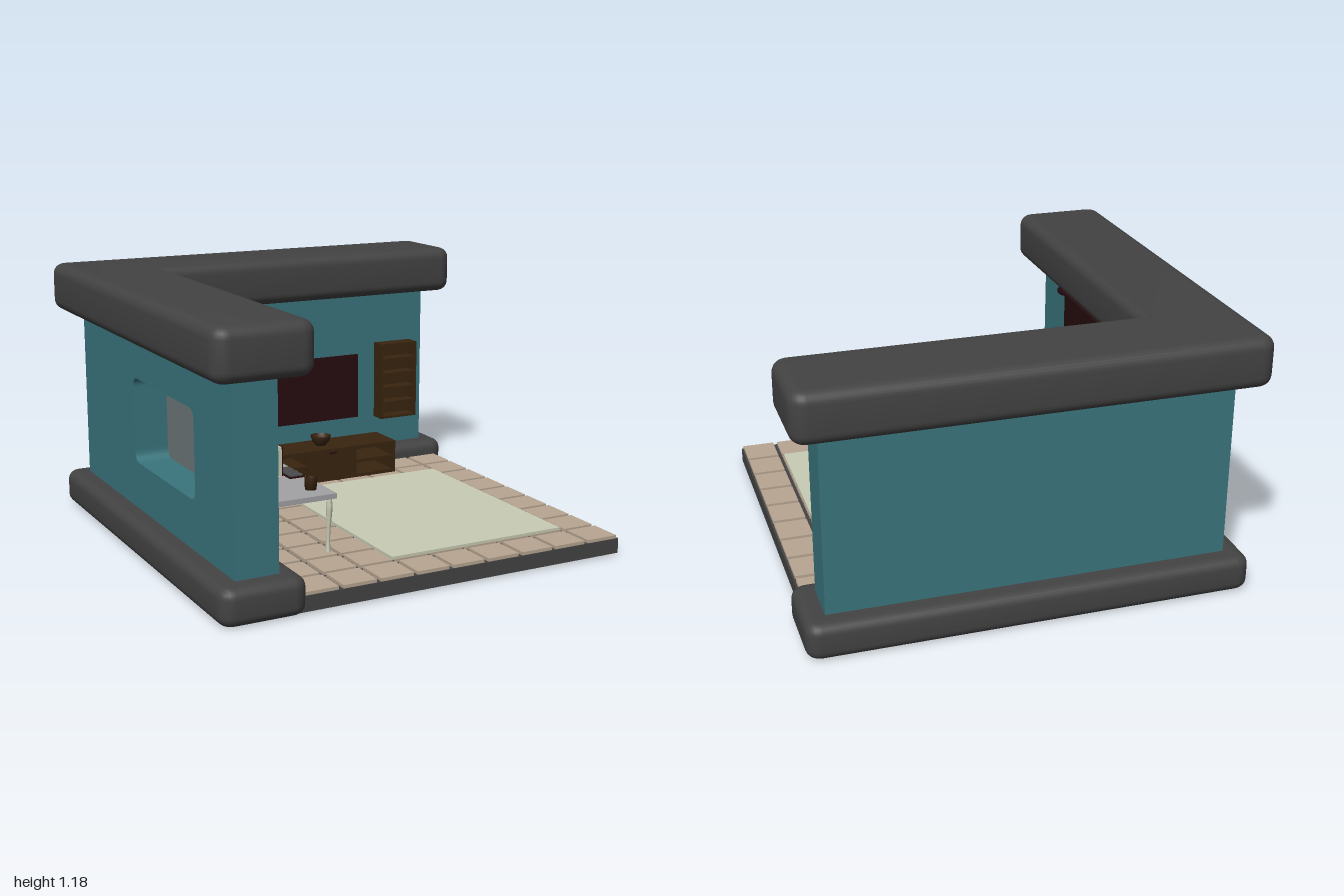
import * as THREE from 'three';
import { toCreasedNormals } from 'three/addons/utils/BufferGeometryUtils.js';

const mat = (name, color, side = THREE.FrontSide) => {
  const m = new THREE.MeshStandardMaterial({ color, side });
  m.name = name;
  return m;
};

export function createModel() {
  const charcoal = mat('charcoal', 0x434343);
  const teal = mat('teal', 0x3a757d);
  const tan = mat('tan', 0xb8a692, THREE.DoubleSide);
  const cream = mat('cream', 0xc9ccb5);
  const metal = mat('deskGrey', 0xa3a3a5);
  const wood = mat('darkWood', 0x38240f, THREE.DoubleSide);
  const maroon = mat('maroon', 0x270d0f);
  const blue = mat('skyBlue', 0x2f86d2);
  const frameGrey = mat('frameGrey', 0x6c7679);
  const gadget = mat('gadgetGrey', 0x4b4b4d);

  const model = new THREE.Group();
  const group = (name) => {
    const g = new THREE.Group();
    g.name = name;
    model.add(g);
    return g;
  };
  const add = (parent, name, geo, material, x = 0, y = 0, z = 0) => {
    const m = new THREE.Mesh(geo, material);
    m.name = name;
    m.position.set(x, y, z);
    parent.add(m);
    return m;
  };
  // box given by its lower and upper limits on each axis
  const box = (parent, name, material, x0, x1, y0, y1, z0, z1) =>
    add(parent, name, new THREE.BoxGeometry(x1 - x0, y1 - y0, z1 - z0), material,
      (x0 + x1) / 2, (y0 + y1) / 2, (z0 + z1) / 2);
  const lathe = (pts, seg = 32) =>
    new THREE.LatheGeometry(pts.map(([r, y]) => new THREE.Vector2(r, y)), seg);

  // L-shaped slab with soft edges; e = outer half size, ix/iz = inner edges
  function slab(name, e, ix, iz, y0, y1, b) {
    const o = e - b, r = 0.02;
    // shape coordinates are (x, -z)
    const s = new THREE.Shape();
    const corner = (ax, ay, cx, cy, bx, by) => {
      s.lineTo(ax, ay);
      s.quadraticCurveTo(cx, cy, bx, by);
    };
    const jx = ix - b, jz = -(iz - b);
    s.moveTo(-o + r, -o);
    corner(jx - r, -o, jx, -o, jx, -o + r);
    s.lineTo(jx, jz);
    corner(o - r, jz, o, jz, o, jz + r);
    corner(o, o - r, o, o, o - r, o);
    corner(-o + r, o, -o, o, -o, o - r);
    corner(-o, -o + r, -o, -o, -o + r, -o);
    const geo = new THREE.ExtrudeGeometry(s, {
      depth: y1 - y0 - 2 * b, bevelEnabled: true, bevelSize: b, bevelThickness: b,
      bevelSegments: 6, curveSegments: 6,
    });
    geo.rotateX(-Math.PI / 2);
    add(model, name, toCreasedNormals(geo, 0.7), charcoal, 0, y0 + b, 0);
  }
  slab('roofSlab', 1, -0.57, -0.575, 0.96, 1.18, 0.05);
  slab('baseSlab', 0.975, -0.6, -0.592, 0, 0.16, 0.045);

  // rounded rectangle in the (z, y) plane
  const rounded = (Type, z0, z1, y0, y1, r) => {
    const p = new Type();
    p.moveTo(z0 + r, y0);
    p.lineTo(z1 - r, y0); p.quadraticCurveTo(z1, y0, z1, y0 + r);
    p.lineTo(z1, y1 - r); p.quadraticCurveTo(z1, y1, z1 - r, y1);
    p.lineTo(z0 + r, y1); p.quadraticCurveTo(z0, y1, z0, y1 - r);
    p.lineTo(z0, y0 + r); p.quadraticCurveTo(z0, y0, z0 + r, y0);
    return p;
  };
  // plate facing +x made from such a shape
  const sidePlate = (parent, name, shape, material, xBack, xFront) => {
    const geo = new THREE.ExtrudeGeometry(shape, { depth: xFront - xBack, bevelEnabled: false, curveSegments: 8 });
    geo.rotateY(-Math.PI / 2);
    return add(parent, name, geo, material, xFront, 0, 0);
  };

  // walls
  const walls = group('walls');
  box(walls, 'backWall', teal, -0.88, 0.88, 0.12, 1.0, -0.88, -0.685);
  const wall = new THREE.Shape([[-0.69, 0.12], [0.88, 0.12], [0.88, 1], [-0.69, 1]]
    .map(([x, y]) => new THREE.Vector2(x, y)));
  wall.holes.push(rounded(THREE.Path, -0.21, 0.49, 0.375, 0.76, 0.05));
  sidePlate(walls, 'windowWall', wall, teal, -0.88, -0.69);

  // window
  const win = group('window');
  const ring = (name, z0, z1, y0, y1, w, r, xb, xf) => {
    const s = rounded(THREE.Shape, z0, z1, y0, y1, r);
    s.holes.push(rounded(THREE.Path, z0 + w, z1 - w, y0 + w, y1 - w, r * 0.4));
    sidePlate(win, name, s, frameGrey, xb, xf);
  };
  sidePlate(win, 'windowBack', rounded(THREE.Shape, -0.21, 0.49, 0.375, 0.76, 0.05), frameGrey, -0.725, -0.71);
  ring('outerFrame', -0.21, 0.49, 0.375, 0.76, 0.045, 0.05, -0.715, -0.678);
  ring('lowerSash', -0.165, 0.455, 0.395, 0.525, 0.025, 0.01, -0.71, -0.685);
  ring('upperSash', -0.15, 0.445, 0.505, 0.74, 0.025, 0.01, -0.71, -0.692);
  box(win, 'lowerPane', blue, -0.71, -0.702, 0.42, 0.5, -0.14, 0.43);
  box(win, 'upperPane', blue, -0.71, -0.702, 0.53, 0.715, -0.125, 0.42);

  // roller blind
  const blind = group('blind');
  box(blind, 'blindCloth', maroon, -0.674, -0.664, 0.58, 0.89, -0.237, 0.538);
  const rodAt = (name, r, z0, z1) => {
    const geo = new THREE.CylinderGeometry(r, r, z1 - z0, 20);
    geo.rotateX(Math.PI / 2);
    add(blind, name, geo, maroon, -0.665, 0.892, (z0 + z1) / 2);
  };
  rodAt('rod', 0.014, -0.27, 0.57);
  rodAt('rodEnd', 0.023, -0.288, -0.264);
  rodAt('rodEnd', 0.023, 0.562, 0.586);

  // tiled floor
  const floor = group('floor');
  box(floor, 'floorSlab', charcoal, -0.64, 0.927, 0.008, 0.075, -0.63, 0.948);
  const tileGeo = new THREE.BoxGeometry(0.152, 0.025, 0.153);
  for (let i = 0; i < 9; i++)
    for (let j = 0; j < 9; j++)
      add(floor, 'tile', tileGeo, tan, 0.842 - i * 0.172, 0.077, 0.867 - j * 0.1735);
  box(model, 'rug', cream, -0.115, 0.742, 0.088, 0.101, -0.31, 0.768);

  // media cabinet with open side bays
  const cab = group('cabinet');
  box(cab, 'cabinetTop', wood, -0.185, 0.565, 0.237, 0.252, -0.585, -0.388);
  box(cab, 'cabinetBottom', wood, -0.185, 0.565, 0.088, 0.105, -0.585, -0.388);
  box(cab, 'cabinetBack', wood, -0.185, 0.565, 0.1, 0.24, -0.585, -0.572);
  for (const x of [-0.185, 0.55]) box(cab, 'cabinetSide', wood, x, x + 0.015, 0.1, 0.24, -0.585, -0.388);
  for (const [a, b] of [[-0.175, 0.075], [0.335, 0.555]])
    box(cab, 'cabinetShelf', wood, a, b, 0.165, 0.177, -0.575, -0.395);
  box(cab, 'cabinetDoor', wood, 0.07, 0.34, 0.1, 0.242, -0.58, -0.386);
  box(cab, 'doorHandle', maroon, 0.188, 0.228, 0.228, 0.236, -0.388, -0.378);
  add(cab, 'bowl', lathe([[0, 0], [0.025, 0], [0.042, 0.02], [0.051, 0.048], [0.046, 0.048],
    [0.036, 0.022], [0, 0.01]]), wood, 0.192, 0.252, -0.487);

  // wall screen
  box(model, 'wallScreen', maroon, -0.12, 0.503, 0.32, 0.65, -0.69, -0.672);

  // wall shelf
  const shelf = group('wallShelf');
  box(shelf, 'shelfBack', wood, 0.605, 0.812, 0.31, 0.702, -0.69, -0.677);
  for (const x of [0.605, 0.8]) box(shelf, 'shelfSide', wood, x, x + 0.012, 0.31, 0.702, -0.685, -0.605);
  for (let i = 0; i < 6; i++) {
    const y = 0.31 + i * 0.076;
    box(shelf, 'shelfBoard', wood, 0.61, 0.806, y, y + 0.012, -0.685, -0.606);
  }

  // floor lamp with oval shade
  const lamp = group('floorLamp');
  lamp.position.set(-0.522, 0, -0.497);
  add(lamp, 'lampBase', new THREE.CylinderGeometry(0.052, 0.06, 0.014, 32), maroon, 0, 0.095, 0);
  add(lamp, 'lampPole', new THREE.CylinderGeometry(0.01, 0.01, 0.43, 16), maroon, 0, 0.305, 0);
  const shade = add(lamp, 'lampShade', lathe([[0.1, 0.495], [0.098, 0.508], [0.074, 0.592], [0.066, 0.592], [0.09, 0.5]]), tan);
  shade.scale.z = 0.83;
  const disc = add(lamp, 'shadeDiffuser', new THREE.CylinderGeometry(0.07, 0.07, 0.006, 32), tan, 0, 0.572, 0);
  disc.scale.z = 0.83;

  // desk with curved legs
  const desk = group('desk');
  box(desk, 'deskTop', metal, -0.582, -0.285, 0.333, 0.356, -0.35, 0.595);
  for (const x of [-0.565, -0.305])
    for (const side of [-1, 1]) {
      const pts = [[0.012, 0.088], [0.008, 0.14], [0.009, 0.2], [0.013, 0.27], [0.014, 0.3], [0.01, 0.335]];
      const geo = lathe(pts, 12);
      const p = geo.attributes.position;
      // lean the upper part of the leg outwards
      for (let i = 0; i < p.count; i++)
        p.setZ(i, p.getZ(i) + side * 0.012 * Math.sin(Math.max(0, (p.getY(i) - 0.16) / 0.14) * 1.57));
      geo.computeVertexNormals();
      add(desk, 'deskLeg', geo, cream, x, 0, 0.122 + side * 0.43);
    }

  // monitor
  const monitor = group('monitor');
  box(monitor, 'monitorFoot', cream, -0.468, -0.395, 0.356, 0.361, 0.2, 0.28);
  box(monitor, 'monitorStand', cream, -0.445, -0.436, 0.36, 0.45, 0.225, 0.255);
  box(monitor, 'monitorCase', cream, -0.44, -0.432, 0.393, 0.52, 0.128, 0.37);
  box(monitor, 'monitorScreen', maroon, -0.432, -0.426, 0.393, 0.52, 0.128, 0.37);

  // desk items
  const items = group('deskItems');
  box(items, 'keyboard', maroon, -0.368, -0.295, 0.356, 0.362, 0.155, 0.315);
  box(items, 'keys', gadget, -0.362, -0.301, 0.362, 0.366, 0.162, 0.308);
  box(items, 'tablet', gadget, -0.388, -0.292, 0.356, 0.364, -0.1, 0.043);
  box(items, 'tabletButton', maroon, -0.352, -0.328, 0.364, 0.366, -0.018, -0.012);
  add(items, 'cup', lathe([[0, 0], [0.025, 0], [0.027, 0.052], [0.023, 0.052], [0.021, 0.008], [0, 0.008]], 24),
    wood, -0.355, 0.356, 0.49);
  const handle = new THREE.TorusGeometry(0.015, 0.005, 8, 20);
  handle.rotateY(Math.PI / 2);
  add(items, 'cupHandle', handle, wood, -0.355, 0.382, 0.462);

  return model;
}
